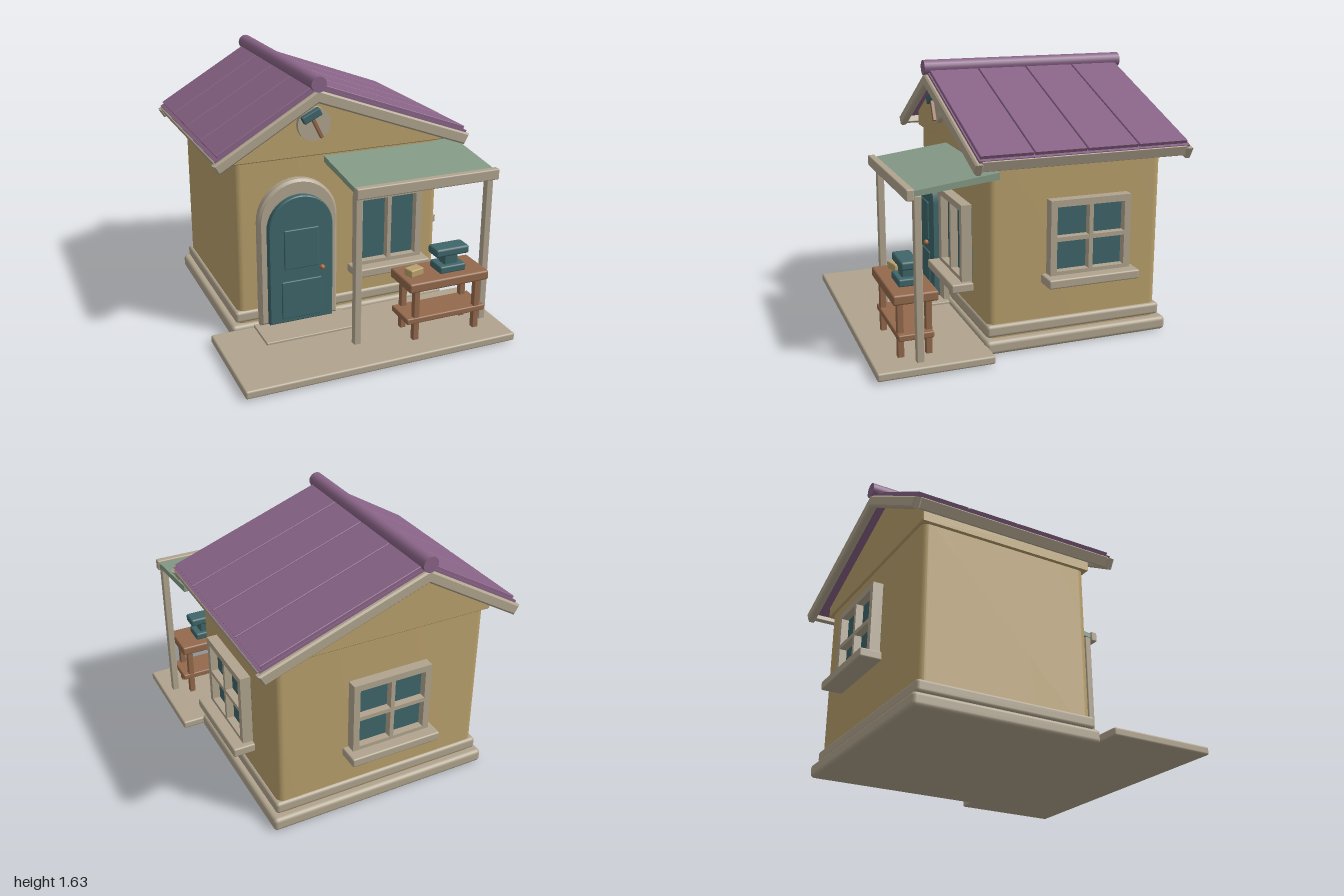
import * as THREE from 'three';
import { toCreasedNormals } from 'three/addons/utils/BufferGeometryUtils.js';
import { RoundedBoxGeometry } from 'three/addons/geometries/RoundedBoxGeometry.js';

const mat = (name, color) => {
  const m = new THREE.MeshStandardMaterial({ color });
  m.name = name;
  return m;
};

export function createModel() {
  const wall = mat('ochre plaster', 0xb9a06c);
  const trim = mat('pale trim', 0xb0a48e);
  const teal = mat('dark teal', 0x3f666a);
  const purple = mat('purple roof', 0x886386);
  const green = mat('green awning', 0x859a87);
  const brown = mat('brown wood', 0x94694c);
  const copper = mat('copper', 0xa5683c);

  const root = new THREE.Group();
  root.name = 'workshopHouse';

  const add = (parent, name, geo, material) => {
    const mesh = new THREE.Mesh(geo, material);
    mesh.name = name;
    parent.add(mesh);
    return mesh;
  };
  // Softly rounded box given by its min and max on each axis
  const box = (name, m, x0, x1, y0, y1, z0, z1, r = 0.008, parent = root) => {
    const mesh = add(parent, name, new RoundedBoxGeometry(x1 - x0, y1 - y0, z1 - z0, 2, r), m);
    mesh.position.set((x0 + x1) / 2, (y0 + y1) / 2, (z0 + z1) / 2);
    return mesh;
  };
  // Outline extruded from z0 to z1, with an optional chamfer kept inside the outline
  const prism = (name, m, shape, z0, z1, bevel = 0, parent = root) => {
    const geo = new THREE.ExtrudeGeometry(shape, {
      depth: z1 - z0 - 2 * bevel, bevelEnabled: bevel > 0, bevelSize: bevel,
      bevelThickness: bevel, bevelOffset: -bevel, bevelSegments: 1, curveSegments: 10,
    });
    geo.translate(0, 0, z0 + bevel);
    return add(parent, name, toCreasedNormals(geo, 0.5), m);
  };
  const poly = (pts) => new THREE.Shape(pts.map(([x, y]) => new THREE.Vector2(x, y)));
  const rect = (x0, x1, y0, y1) => [[x0, y0], [x1, y0], [x1, y1], [x0, y1]];

  // Ground slabs and plinth
  box('patio', trim, -0.865, 0.865, 0.01, 0.06, 0.305, 0.995, 0.012);
  box('foundation', trim, -0.73, 0.73, 0, 0.085, -0.87, 0.315, 0.025);
  box('doorstep', trim, -0.59, 0, 0.05, 0.075, 0.3, 0.56, 0.006);
  box('skirting', trim, -0.7, 0.7, 0.095, 0.17, -0.835, 0.3, 0.02);

  // Walls with rounded upright corners
  const W = 0.68, D = 0.5525, R = 0.045;
  const plan = new THREE.Shape();
  plan.absarc(W - R, D - R, R, 0, Math.PI / 2);
  plan.absarc(-W + R, D - R, R, Math.PI / 2, Math.PI);
  plan.absarc(-W + R, -D + R, R, Math.PI, Math.PI * 1.5);
  plan.absarc(W - R, -D + R, R, Math.PI * 1.5, Math.PI * 2);
  const walls = prism('walls', wall, plan, 0.08, 1.14);
  walls.rotation.x = -Math.PI / 2;
  walls.position.z = -0.2655;

  // Gable block, following the uneven roof slopes
  const RX = -0.19, SL = 0.59, SR = 0.37;
  const roofY = (apex, x) => apex - (x < RX ? SL * (RX - x) : SR * (x - RX));
  prism('gable', wall, poly([
    [-0.705, 1.125], [0.705, 1.125], [0.705, roofY(1.53, 0.705)],
    [RX, 1.53], [-0.705, roofY(1.53, -0.705)],
  ]), -0.835, 0.305, 0.006);

  // Roof: a chevron band lies between two apex heights
  const chevron = (top, bottom, xl, xr) => {
    const cut = (top - bottom) * 0.45;
    return poly([
      [xl, roofY(top, xl)], [xl + cut, roofY(bottom, xl + cut)], [RX, bottom],
      [xr - cut, roofY(bottom, xr - cut)], [xr, roofY(top, xr)], [RX, top],
    ]);
  };
  prism('roofDeck', purple, chevron(1.565, 1.53, -0.82, 0.82), -0.925, 0.385);
  for (let i = 0; i < 4; i++) {
    const z = -0.92 + i * 0.325;
    prism('roofPanel', purple, chevron(1.587, 1.56, -0.808, 0.81), z + 0.004, z + 0.321, 0.003);
  }
  prism('frontBargeboard', trim, chevron(1.55, 1.472, -0.835, 0.832), 0.36, 0.408, 0.01);
  prism('backBargeboard', trim, chevron(1.55, 1.472, -0.835, 0.832), -0.95, -0.902, 0.01);
  for (const [x, a] of [[0.798, -Math.atan(SR)], [-0.795, Math.atan(SL)]]) {
    const f = box('eaveFascia', trim, -0.015, 0.015, -0.033, 0.033, -0.91, 0.37, 0.005);
    f.position.x = x;
    f.position.y = 1.16;
    f.rotation.z = a;
  }
  const ridge = add(root, 'ridgeRoll', new THREE.CylinderGeometry(0.048, 0.048, 1.36, 20), purple);
  ridge.rotation.x = Math.PI / 2;
  ridge.position.set(RX, 1.585, -0.27);

  // Round sign with a hammer
  const disc = add(root, 'signDisc', new THREE.CylinderGeometry(0.104, 0.104, 0.03, 28), trim);
  disc.rotation.x = Math.PI / 2;
  disc.position.set(RX, 1.33, 0.32);
  const hammer = new THREE.Group();
  hammer.name = 'signHammer';
  hammer.position.set(-0.215, 1.388, 0.35);
  hammer.rotation.z = 0.45;
  root.add(hammer);
  box('hammerHandle', brown, -0.011, 0.011, -0.155, 0, -0.012, 0.012, 0.004, hammer);
  box('hammerHead', teal, -0.062, 0.062, -0.024, 0.024, -0.02, 0.02, 0.007, hammer);

  // Arched door
  const arch = (cx, r, y0, spring) => {
    const s = new THREE.Shape();
    s.moveTo(cx - r, y0);
    s.lineTo(cx + r, y0);
    s.absarc(cx, spring, r, 0, Math.PI);
    return s;
  };
  prism('doorSurround', trim, arch(-0.3, 0.255, 0.075, 0.75), 0.28, 0.35, 0.015);
  prism('door', teal, arch(-0.3, 0.207, 0.09, 0.708), 0.34, 0.39, 0.006);
  box('doorUpperPanel', teal, -0.412, -0.188, 0.45, 0.707, 0.38, 0.4, 0.006);
  box('doorLowerPanel', teal, -0.43, -0.17, 0.12, 0.37, 0.38, 0.4, 0.006);
  const knob = add(root, 'doorKnob', new THREE.SphereGeometry(0.017, 12, 8), copper);
  knob.position.set(-0.173, 0.44, 0.415);

  // Windows: framed panes over a glass sheet, with a projecting sill
  const addWindow = (name, w, h, rows, sillW, x, y, z, turn) => {
    const g = new THREE.Group();
    g.name = name;
    g.position.set(x, y, z);
    g.rotation.y = turn;
    root.add(g);
    const outline = poly(rect(-w / 2, w / 2, 0, h));
    const bar = 0.04, low = 0.028, mull = 0.013;
    const paneH = (h - bar - low - (rows - 1) * 2 * mull) / rows;
    for (let r = 0; r < rows; r++) {
      const y0 = low + r * (paneH + 2 * mull);
      for (const [a, b] of [[-w / 2 + bar, -mull], [mull, w / 2 - bar]]) {
        outline.holes.push(new THREE.Path(rect(a, b, y0, y0 + paneH).map((p) => new THREE.Vector2(...p))));
      }
    }
    prism('windowFrame', trim, outline, 0.042, 0.106, 0, g);
    box('windowGlass', teal, -w / 2 + 0.025, w / 2 - 0.025, 0.015, h - 0.025, 0.03, 0.06, 0.003, g);
    box('windowSill', trim, -sillW / 2, sillW / 2, -0.05, 0.005, 0.042, 0.178, 0.01, g);
  };
  addWindow('frontWindow', 0.45, 0.475, 1, 0.515, 0.29, 0.39, 0.288, 0);
  addWindow('rightWindow', 0.51, 0.455, 2, 0.58, 0.68, 0.463, -0.313, Math.PI / 2);
  addWindow('backWindow', 0.51, 0.455, 2, 0.585, -0.005, 0.463, -0.82, Math.PI);

  // Porch awning on two posts
  const slope = poly([[-0.77, 1.02], [-0.26, 1.075], [-0.26, 1.115], [-0.77, 1.052]]);
  const awning = prism('awning', green, slope, -0.11, 0.8);
  awning.rotation.y = Math.PI / 2;
  awning.geometry.scale(1, 1, 1);
  box('awningBeam', trim, -0.12, 0.81, 1, 1.067, 0.75, 0.795);
  for (const x of [-0.083, 0.777]) box('awningPost', trim, x - 0.022, x + 0.022, 0.05, 1.025, 0.708, 0.752, 0.006);

  // Workbench
  box('benchTop', brown, 0.2, 0.735, 0.388, 0.448, 0.6, 0.865, 0.012);
  box('benchShelf', brown, 0.2, 0.735, 0.17, 0.208, 0.63, 0.84, 0.008);
  for (const x of [0.265, 0.678]) {
    for (const z of [0.65, 0.817]) box('benchLeg', brown, x - 0.019, x + 0.019, 0.055, 0.4, z - 0.019, z + 0.019, 0.005);
  }

  // Anvil and a small block on the bench
  box('anvilBase', teal, 0.435, 0.61, 0.445, 0.492, 0.665, 0.8, 0.01);
  box('anvilWaist', teal, 0.477, 0.57, 0.48, 0.565, 0.69, 0.77, 0.01);
  box('anvilTop', teal, 0.41, 0.635, 0.55, 0.602, 0.678, 0.79, 0.014);
  box('smallBlock', wall, 0.24, 0.34, 0.445, 0.492, 0.7, 0.77, 0.008).rotation.y = 0.25;

  return root;
}
